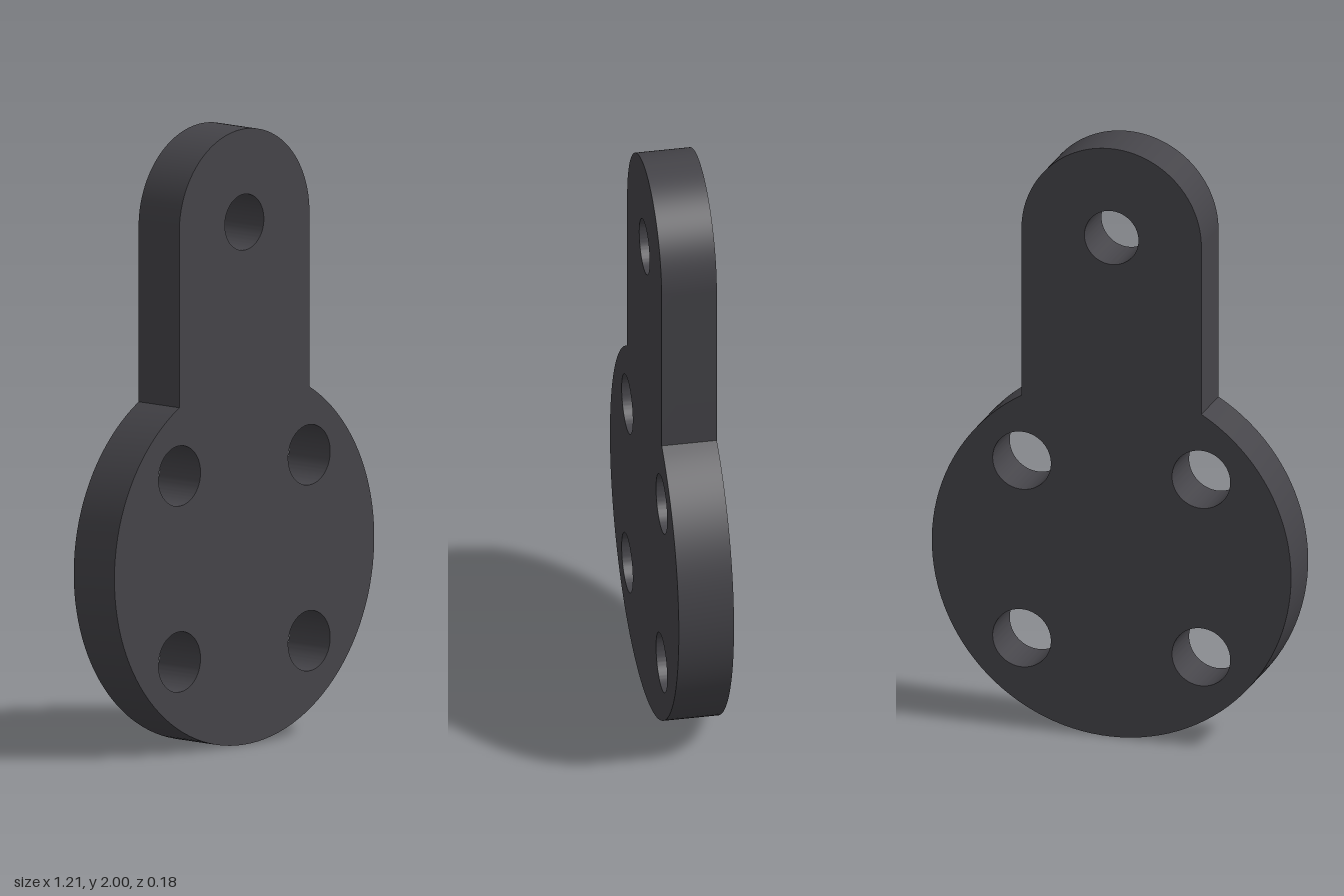
import * as THREE from 'three';
import { toCreasedNormals } from 'three/addons/utils/BufferGeometryUtils.js';

const DISC_R = 0.605, ARM_R = 0.303, ARM_Y = 2 - ARM_R, DEPTH = 0.18;
const HOLE_OFFSET = 0.302;

function addHole(shape, x, y, r) {
  const hole = new THREE.Path();
  hole.absarc(x, y, r, 0, Math.PI * 2, true);
  shape.holes.push(hole);
}

export function createModel() {
  const group = new THREE.Group();
  group.name = 'mountingBracket';

  const darkGrey = new THREE.MeshStandardMaterial({ color: 0x454449 });
  darkGrey.name = 'darkGrey';

  // Outline: round-ended arm rising from a disc
  const joint = Math.acos(ARM_R / DISC_R);
  const jointY = DISC_R + DISC_R * Math.sin(joint);
  const outline = new THREE.Shape();
  outline.moveTo(ARM_R, jointY);
  outline.lineTo(ARM_R, ARM_Y);
  outline.absarc(0, ARM_Y, ARM_R, 0, Math.PI, false);
  outline.lineTo(-ARM_R, jointY);
  outline.absarc(0, DISC_R, DISC_R, Math.PI - joint, Math.PI * 2 + joint, false);

  // Pivot hole in the arm and four bolt holes in the disc
  addHole(outline, 0, ARM_Y, 0.091);
  for (const sx of [-1, 1]) {
    for (const sy of [-1, 1]) {
      addHole(outline, sx * HOLE_OFFSET, DISC_R + sy * HOLE_OFFSET, 0.098);
    }
  }

  // Plate with smooth curved walls and sharp rims
  const geometry = new THREE.ExtrudeGeometry(outline, {
    depth: DEPTH, bevelEnabled: false, curveSegments: 48,
  });
  geometry.translate(0, 0, -DEPTH / 2);
  const plate = new THREE.Mesh(toCreasedNormals(geometry, Math.PI / 6), darkGrey);
  plate.name = 'bracketPlate';
  group.add(plate);

  return group;
}
